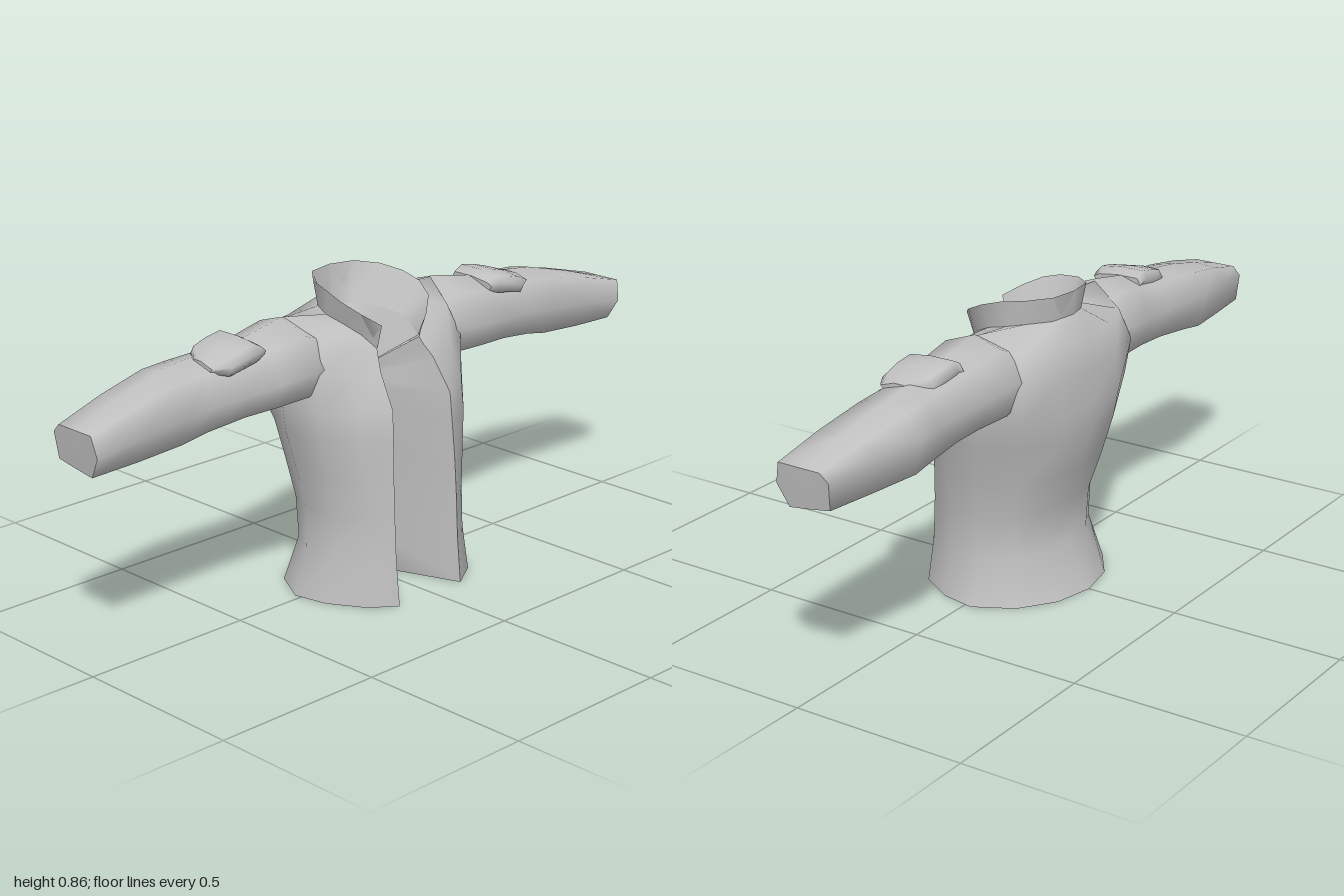
import * as THREE from 'three';

const cloth = new THREE.MeshStandardMaterial({ color: 0xc0c0c0, side: THREE.DoubleSide });
cloth.name = 'grey cloth';

// Skin a grid of cross-section rows; faces point along (row direction x column direction)
function loft(name, rows, closed = false, flip = false) {
  const n = rows[0].length, index = [];
  for (let r = 0; r < rows.length - 1; r++) {
    for (let c = 0; c < (closed ? n : n - 1); c++) {
      const c2 = (c + 1) % n;
      const a = r * n + c, b = r * n + c2, d = a + n, e = b + n;
      if (flip) index.push(a, b, d, b, e, d);
      else index.push(a, d, b, b, d, e);
    }
  }
  const g = new THREE.BufferGeometry();
  g.setAttribute('position', new THREE.Float32BufferAttribute(rows.flat(2), 3));
  g.setIndex(index);
  g.computeVertexNormals();
  const mesh = new THREE.Mesh(g, cloth);
  mesh.name = name;
  return mesh;
}

// Half row (back centre to front edge) -> full row from right front edge round the back to left
function mirrorRow(half) {
  const row = [...half.slice(1).reverse().map(([x, y, z]) => [-x, y, z]), ...half.map(p => [...p])];
  row[0][0] -= 0.01; // the opening sits slightly off centre
  row[row.length - 1][0] -= 0.01;
  return row;
}
const level = (y, pts) => pts.map(([x, z]) => [x, y, z]);
const repeat = (p, n) => Array.from({ length: n }, () => [...p]);

function createBody() {
  const g = new THREE.Group();
  g.name = 'body';
  const neck = [[0, .79, -.165], [.07, .785, -.145], [.12, .78, -.09], [.137, .77, -.04],
    [.132, .755, .02], [.112, .73, .07], [.08, .695, .107]];
  const rows = [
    level(0, [[0, -.225], [.12, -.2], [.22, -.13], [.28, -.02], [.26, .08], [.2, .18], [.12, .235]]),
    level(.13, [[0, -.155], [.1, -.148], [.19, -.1], [.237, -.02], [.23, .08], [.185, .17], [.12, .222]]),
    level(.25, [[0, -.16], [.11, -.15], [.2, -.1], [.237, -.02], [.23, .08], [.185, .165], [.12, .216]]),
    level(.36, [[0, -.2], [.12, -.185], [.21, -.13], [.26, -.03], [.245, .08], [.19, .162], [.118, .21]]),
    level(.47, [[0, -.227], [.13, -.215], [.23, -.15], [.287, -.04], [.265, .07], [.2, .155], [.113, .203]]),
    level(.55, [[0, -.232], [.14, -.225], [.26, -.17], [.3, -.04], [.28, .07], [.2, .145], [.11, .197]]),
    [[0, .65, -.222], [.14, .65, -.218], [.27, .65, -.183], [.3, .66, -.05], [.27, .65, .075],
      [.19, .64, .115], [.1, .64, .142]],
    [[0, .725, -.21], [.13, .735, -.197], [.24, .74, -.16], [.28, .79, -.055], [.24, .74, .05],
      [.165, .71, .088], [.086, .675, .118]],
    neck,
  ].map(mirrorRow);
  g.add(loft('torso', rows));

  // Walls of the front opening, meeting in a deep fold
  const fold = [0, .13, .25, .36, .47, .53, .56, .57, .58];
  g.add(loft('frontOpening', rows.map((r, i) => [r[0], [0, fold[i], -.06], r[r.length - 1]]), false, true));

  // Closed hem
  const hem = rows[0];
  g.add(loft('hem', [repeat([0, 0, -.06], hem.length), hem]));

  // Standing collar, its funnel-shaped lining and the neck floor
  const rim = mirrorRow([[0, .858, -.17], [.08, .856, -.155], [.127, .85, -.1], [.145, .84, -.03],
    [.15, .822, .03], [.13, .795, .085], [.085, .765, .13]]);
  const inner = mirrorRow([[0, .745, -.155], [.045, .745, -.135], [.07, .745, -.09], [.08, .745, -.04],
    [.082, .74, .02], [.08, .725, .06], [.077, .7, .107]]);
  g.add(loft('collar', [mirrorRow(neck), rim]));
  g.add(loft('collarLining', [rim, inner]));
  g.add(loft('neckFloor', [inner, repeat([0, .58, -.06], inner.length)]));
  return g;
}

// Section outlines as fractions: z from back to front, y from bottom to top
const roundCut = [[.85, .85], [.5, 1], [.18, .88], [0, .5], [.12, .1], [.5, 0], [.88, .12], [1, .45]];
const cuffCut = [[.92, 1], [.5, 1], [.15, 1], [0, .8], [.03, .17], [.4, .08], [.8, 0], [1, .5]];

function createSleeve(side) {
  const g = new THREE.Group();
  g.name = side > 0 ? 'leftSleeve' : 'rightSleeve';
  const lerp = THREE.MathUtils.lerp;
  // x, top, bottom, back, front, blend towards the cuff outline
  const rows = [
    [.2, .75, .59, -.165, .06, 0],
    [.29, .793, .565, -.183, .085, 0],
    [.4, .772, .562, -.167, .075, 0],
    [.5, .755, .56, -.165, .06, .1],
    [.62, .745, .548, -.17, .048, .25],
    [.7, .735, .536, -.172, .045, .4],
    [.85, .698, .535, -.147, .045, .7],
    [1, .655, .537, -.12, .045, 1],
  ].map(([x, top, bottom, back, front, t]) => roundCut.map(([u, v], i) => {
    const cu = lerp(u, cuffCut[i][0], t), cv = lerp(v, cuffCut[i][1], t);
    return [side * (x - .015 * t * (1 - cv)), lerp(bottom, top, cv), lerp(back, front, cu)];
  }));
  g.add(loft('sleeve', rows, true, side < 0));
  const end = rows[rows.length - 1];
  g.add(loft('cuffEnd', [end, repeat([side * .993, .596, -.04], end.length)], true, side < 0));

  // Strap tab lying over the upper arm, thicker at its inner end
  const tab = [
    [.43, .766, .733, -.113, .043],
    [.46, .781, .726, -.115, .052],
    [.51, .772, .718, -.115, .055],
    [.555, .76, .708, -.11, .053],
    [.6, .746, .72, -.06, .025],
  ].map(([x, top, low, back, front]) => [
    [x, low, front - .012], [x, (low + top) / 2, front], [x, top - .008, front - .018],
    [x, top, (back + front) / 2], [x, top, back + .012], [x, top - .02, back], [x, low, back + .01],
  ].map(([px, y, z]) => [side * px, y, z]));
  g.add(loft('armTab', tab, true, side < 0));
  for (const [i, x] of [[0, .43], [4, .6]]) {
    const centre = repeat([side * x, tab[i][1][1], -.03], tab[i].length);
    g.add(loft('armTabEnd', [tab[i], centre], true, (side < 0) !== (i === 0)));
  }
  return g;
}

export function createModel() {
  const model = new THREE.Group();
  model.name = 'jacket';
  model.add(createBody(), createSleeve(1), createSleeve(-1));
  return model;
}
